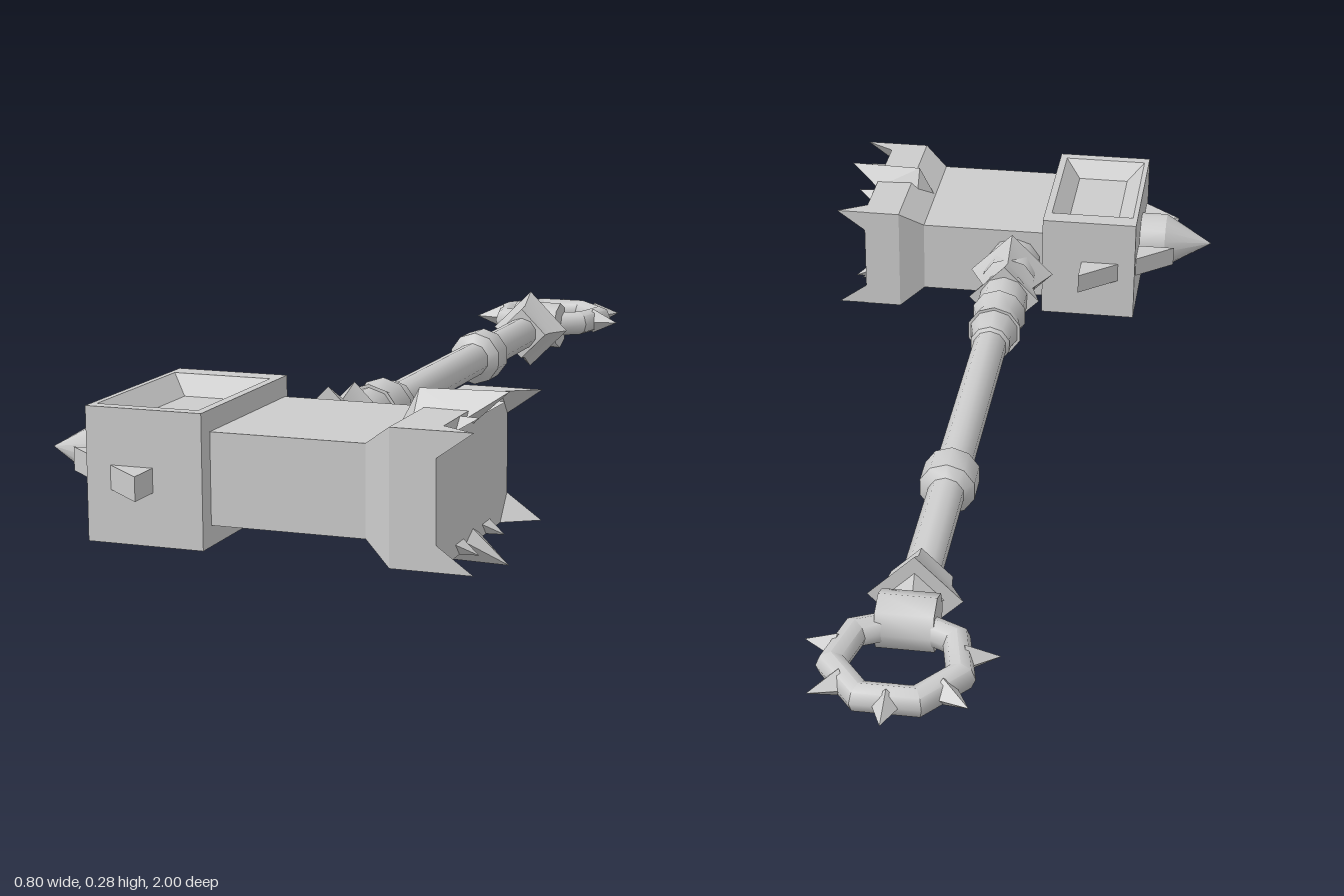
import * as THREE from 'three';
import { toCreasedNormals } from 'three/addons/utils/BufferGeometryUtils.js';
import { ConvexGeometry } from 'three/addons/geometries/ConvexGeometry.js';

const material = new THREE.MeshStandardMaterial({ color: 0xcccccc });
const CY = 0.143; // height of the weapon's axis
const CZ = 0.755; // centre of the hammer head
const HX = 0.016; // handle axis

// Skin a row of rings (counter-clockwise seen from the last ring) and cap both ends
function loft(rings) {
  const p = [];
  const tri = (a, b, c) => p.push(...a, ...b, ...c);
  for (let r = 0; r < rings.length - 1; r++) {
    const a = rings[r], b = rings[r + 1], n = a.length;
    for (let i = 0; i < n; i++) {
      const j = (i + 1) % n;
      tri(a[i], a[j], b[j]);
      tri(a[i], b[j], b[i]);
    }
  }
  const first = rings[0], last = rings[rings.length - 1];
  for (let i = 1; i < first.length - 1; i++) {
    tri(first[0], first[i + 1], first[i]);
    tri(last[0], last[i], last[i + 1]);
  }
  const g = new THREE.BufferGeometry();
  g.setAttribute('position', new THREE.Float32BufferAttribute(p, 3));
  g.computeVertexNormals();
  return g;
}

const rectX = (x, y0, y1, z0, z1) => [[x, y0, z0], [x, y1, z0], [x, y1, z1], [x, y0, z1]];
const rectY = (y, x0, x1, z0, z1) => [[x1, y, z1], [x1, y, z0], [x0, y, z0], [x0, y, z1]];
const hull = (pts) => new ConvexGeometry(pts.map((q) => new THREE.Vector3(...q)));

// Turned part along z from [z, radius] pairs in rising z
function turned(profile, sides) {
  const pts = profile.map(([z, r]) => new THREE.Vector2(r, z));
  const g = new THREE.LatheGeometry(pts, sides);
  g.rotateX(Math.PI / 2);
  g.translate(HX, CY, 0);
  return toCreasedNormals(g, 0.85);
}

export function createModel() {
  const model = new THREE.Group();
  model.name = 'warHammer';
  const head = new THREE.Group();
  head.name = 'head';
  const handle = new THREE.Group();
  handle.name = 'handle';
  const pommel = new THREE.Group();
  pommel.name = 'pommel';
  model.add(head, handle, pommel);

  const add = (group, name, geometry) => {
    const m = new THREE.Mesh(geometry, material);
    m.name = name;
    group.add(m);
    return m;
  };

  // Head block flaring into the striking face
  add(head, 'headBlock', loft([
    rectX(-0.1, 0.067, 0.218, 0.6, 0.905),
    rectX(0.215, 0.067, 0.218, 0.6, 0.905),
    rectX(0.265, 0.033, 0.253, 0.572, 0.937),
    rectX(0.34, 0.033, 0.253, 0.572, 0.937),
  ]));

  // Collar with a sloped recess above and below
  const rim = [-0.235, -0.06, 0.63, 0.915];
  const floor = [-0.2, -0.093, 0.667, 0.88];
  const outer = [-0.245, -0.045, 0.59, 0.937];
  add(head, 'collar', loft([
    rectY(0.065, ...floor), rectY(0.033, ...rim), rectY(0.033, ...outer),
    rectY(0.253, ...outer), rectY(0.253, ...rim), rectY(0.221, ...floor),
  ]));

  for (const sy of [-1, 1]) {
    const y = (d) => CY + sy * d;
    for (const sz of [-1, 1]) {
      const z = (d) => CZ + sz * d;
      // Corner points of the striking face
      add(head, 'cornerPoint', hull([
        [0.34, y(0.11), z(0.182)], [0.34, y(0.067), z(0.182)],
        [0.34, y(0.11), z(0.145)], [0.4, y(0.11), z(0.182)],
      ]));
      // Small teeth between the corners
      add(head, 'faceTooth', hull([
        [0.34, y(0.11), z(0.068)], [0.34, y(0.09), z(0.048)],
        [0.34, y(0.09), z(0.088)], [0.372, y(0.109), z(0.068)],
      ]));
    }
    // Ridged fin above and below the flare
    add(head, 'ridgeFin', hull([
      [0.215, y(0.07), CZ], [0.25, y(0.137), CZ], [0.4, y(0.14), CZ],
      [0.25, y(0.09), CZ - 0.034], [0.25, y(0.09), CZ + 0.034],
      [0.34, y(0.1), CZ - 0.034], [0.34, y(0.1), CZ + 0.034], [0.34, y(0.085), CZ],
    ]));
  }

  // Rear spike
  const spike = new THREE.LatheGeometry(
    [[0.2, 0.058], [0.3, 0.058], [0.4, 0]].map(([h, r]) => new THREE.Vector2(r, h)), 16);
  spike.rotateZ(Math.PI / 2);
  spike.translate(0, 0.14, 0.76);
  add(head, 'rearSpike', toCreasedNormals(spike, 0.5));

  // Swept wedges through the rear corners of the collar
  for (const s of [-1, 1]) {
    const pts = [];
    for (const y of [0.12, 0.16]) {
      pts.push([-0.322, y, 0.76 + s * 0.075], [-0.13, y, 0.76 + s * 0.075], [-0.13, y, 0.762 + s * 0.238]);
    }
    add(head, 'sideWedge', hull(pts));
  }

  // Handle
  add(handle, 'shaft', turned([[-0.62, 0.034], [0.3, 0.034]], 10));
  add(handle, 'middleBand', turned(
    [[-0.33, 0.034], [-0.315, 0.053], [-0.255, 0.053], [-0.24, 0.034]], 10));
  add(handle, 'upperBands', turned([
    [0.225, 0.034], [0.23, 0.041], [0.25, 0.041], [0.285, 0.05], [0.285, 0.056],
    [0.325, 0.046], [0.36, 0.057], [0.36, 0.051], [0.45, 0.051],
  ], 10));
  add(handle, 'neck', turned([[0.5, 0.057], [0.62, 0.057]], 10));
  add(handle, 'squareFlange', turned(
    [[0.43, 0], [0.43, 0.074], [0.487, 0.054], [0.555, 0.088], [0.555, 0]], 4));

  // Pommel mount and ring clasp
  add(pommel, 'squareMount', turned([
    [-0.7, 0], [-0.655, 0.05], [-0.655, 0.083], [-0.612, 0.057], [-0.585, 0.054], [-0.585, 0],
  ], 4));
  const clasp = new THREE.CylinderGeometry(0.05, 0.05, 0.1, 8);
  clasp.rotateZ(Math.PI / 2);
  clasp.translate(HX, CY, -0.72);
  add(pommel, 'ringClasp', toCreasedNormals(clasp, 0.9));

  // Seven-sided ring with spikes on its five free sides
  const ringGroup = new THREE.Group();
  ringGroup.name = 'spikedRing';
  ringGroup.position.set(HX - 0.004, CY, -0.833);
  ringGroup.rotation.x = -Math.PI / 2;
  pommel.add(ringGroup);
  const ring = new THREE.TorusGeometry(0.109, 0.026, 8, 7);
  ring.rotateZ(-Math.PI / 2);
  add(ringGroup, 'ring', toCreasedNormals(ring, 0.8));
  for (let k = -2; k <= 2; k++) {
    const cone = new THREE.ConeGeometry(0.027, 0.06, 4).toNonIndexed();
    cone.computeVertexNormals();
    cone.translate(0, 0.138, 0);
    cone.rotateZ((k * 2 * Math.PI) / 7);
    add(ringGroup, 'ringSpike', cone);
  }
  return model;
}
